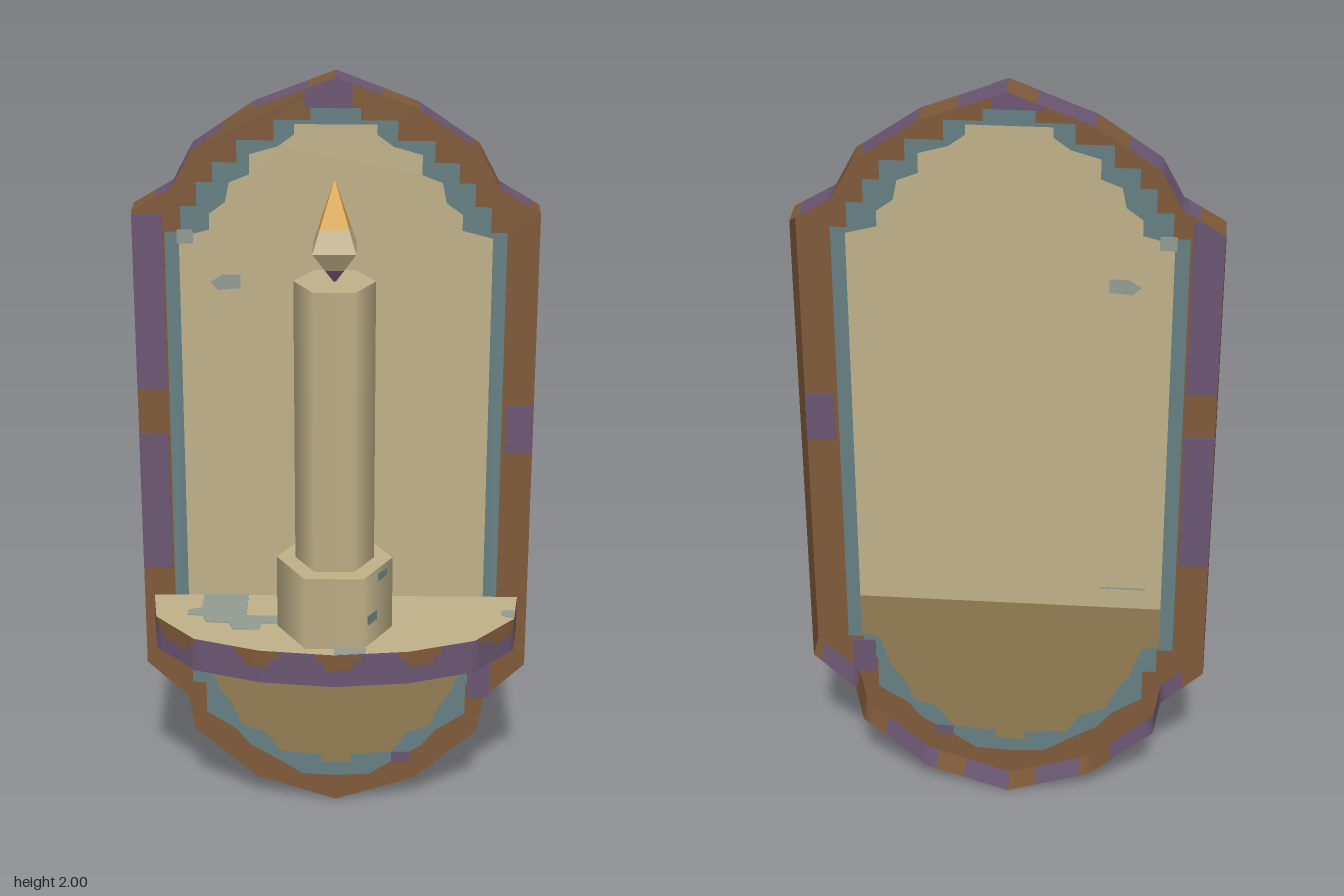
import * as THREE from 'three';
import { toCreasedNormals } from 'three/addons/utils/BufferGeometryUtils.js';

const paint = (name, color) => new THREE.MeshStandardMaterial({ name, color, side: THREE.DoubleSide });

export function createModel() {
  const model = new THREE.Group();
  const cream = paint('cream', 0xbfb088);
  const khaki = paint('dark khaki', 0x927e52);
  const brown = paint('wood brown', 0x7f5a39);
  const purple = paint('faded purple', 0x6b5672);
  const teal = paint('teal', 0x667f82);
  const grey = paint('grey green', 0x919c92);
  const amber = paint('flame amber', 0xd9a63a);

  const add = (name, geometry, material, parent = model) => {
    const mesh = new THREE.Mesh(geometry, material);
    mesh.name = name;
    parent.add(mesh);
    return mesh;
  };
  const shapeOf = (pts, hole) => {
    const s = new THREE.Shape(pts.map(p => new THREE.Vector2(...p)));
    if (hole) s.holes.push(new THREE.Path(hole.map(p => new THREE.Vector2(...p))));
    return s;
  };
  const mirror = half => [...half, ...half.slice(1, -1).reverse().map(([x, y]) => [-x, y])];
  const rect = (x0, y0, x1, y1) => [[x0, y0], [x1, y0], [x1, y1], [x0, y1]];
  // thin painted plate, centred on its plane
  const plate = pts => new THREE.ExtrudeGeometry(shapeOf(pts), { depth: 0.005, bevelEnabled: false }).translate(0, 0, -0.0025);

  // wall along a path, cut into small cells of two colours
  function wall(path, place, isPurple, rows) {
    const cells = [[], []];
    for (let i = 0; i + 1 < path.length; i++) {
      const [a, b] = [path[i], path[i + 1]];
      const n = Math.max(1, Math.ceil(Math.hypot(b[0] - a[0], b[1] - a[1]) / 0.025));
      const at = t => [a[0] + (b[0] - a[0]) * t, a[1] + (b[1] - a[1]) * t];
      for (let k = 0; k < n; k++) for (let r = 0; r < rows; r++) {
        const p = at(k / n), q = at((k + 1) / n), m = at((k + 0.5) / n);
        const v0 = r / rows, v1 = (r + 1) / rows;
        const A = place(p, v0), B = place(q, v0), C = place(q, v1), D = place(p, v1);
        cells[isPurple(m, (v0 + v1) / 2) ? 1 : 0].push(...A, ...B, ...C, ...A, ...C, ...D);
      }
    }
    const g = new THREE.BufferGeometry();
    g.setAttribute('position', new THREE.Float32BufferAttribute(cells.flat(), 3));
    g.addGroup(0, cells[0].length / 3, 0);
    g.addGroup(cells[0].length / 3, cells[1].length / 3, 1);
    return toCreasedNormals(g, 0.7);
  }

  // back board: open-backed shell with an ornamental outline
  const FRONT = -0.13, BACK = -0.205;
  const board = new THREE.Group();
  board.name = 'backBoard';
  model.add(board);
  const outline = mirror([[0, 2], [0.2, 1.923], [0.35, 1.82], [0.4, 1.725], [0.5, 1.665], [0.5, 0.42],
    [0.395, 0.32], [0.377, 0.217], [0.212, 0.07], [0, 0]]);
  const band = mirror([[0, 1.925], [0.06, 1.925], [0.06, 1.895], [0.15, 1.895], [0.15, 1.845], [0.24, 1.845], [0.24, 1.79],
    [0.3, 1.79], [0.3, 1.74], [0.34, 1.74], [0.34, 1.68], [0.38, 1.68], [0.38, 1.615], [0.42, 1.615], [0.42, 0.43], [0.38, 0.43],
    [0.38, 0.36], [0.345, 0.36], [0.345, 0.27], [0.27, 0.22], [0.23, 0.17], [0.15, 0.12], [0.09, 0.08], [0, 0.075]]);
  const panel = mirror([[0, 1.885], [0.1, 1.885], [0.1, 1.86], [0.14, 1.83], [0.21, 1.81], [0.21, 1.76], [0.26, 1.74],
    [0.27, 1.69], [0.31, 1.66], [0.31, 1.62], [0.385, 1.6], [0.385, 0.44], [0.34, 0.43], [0.31, 0.34], [0.28, 0.3],
    [0.25, 0.23], [0.19, 0.21], [0.15, 0.15], [0.04, 0.14], [0.04, 0.115], [0, 0.115]]);
  const SPLIT = 0.56;
  const cut = keep => {
    const pts = [];
    panel.forEach((p, i) => {
      const q = panel[(i + 1) % panel.length];
      if (keep(p[1])) pts.push(p);
      if (keep(p[1]) !== keep(q[1])) pts.push([p[0], SPLIT]);
    });
    return pts;
  };
  const face = (name, pts, hole, mat) =>
    add(name, new THREE.ShapeGeometry(shapeOf(pts, hole)), mat, board).position.z = FRONT;
  face('frameFace', outline, band, brown);
  face('innerBorder', band, panel, teal);
  face('upperPanel', cut(y => y > SPLIT), null, cream);
  face('lowerPanel', cut(y => y <= SPLIT), null, khaki);

  const rimPurple = [[-0.45, -0.27], [-0.2, -0.07], [0.01, 0.12], [0.2, 0.33], [0.4, 0.49]];
  add('rim', wall([...outline, outline[0]], ([x, y], v) => [x, y, FRONT + (BACK - FRONT) * v],
    ([x]) => rimPurple.some(([a, b]) => x > a && x < b), 1), [brown, purple], board);

  // worn paint on the frame and panel
  [rect(-0.5, 1.2, -0.425, 1.66), rect(-0.5, 0.7, -0.425, 1.08), rect(0.43, 1.03, 0.5, 1.16),
    rect(0.35, 0.32, 0.41, 0.42), [[-0.075, 1.925], [0.04, 1.925], [0.04, 1.985], [0, 2], [-0.075, 1.971]],
    rect(0.15, 0.12, 0.2, 0.15)]
    .forEach(p => { add('framePaintPatch', plate(p), purple, board).position.z = FRONT; });
  [[[-0.31, 1.485], [-0.28, 1.505], [-0.235, 1.505], [-0.235, 1.47], [-0.29, 1.465]], rect(-0.39, 1.585, -0.35, 1.62)]
    .forEach(p => { add('panelPaintPatch', plate(p), grey, board).position.z = FRONT; });

  // shelf
  const TOP = 0.62, LOW = 0.53;
  const shelf = new THREE.Group();
  shelf.name = 'shelf';
  model.add(shelf);
  const right = [[0.475, FRONT], [0.46, -0.005], [0.355, 0.117], [0.187, 0.178]];
  const rimPath = [...right.map(([x, z]) => [-x, z]), [0, 0.2], ...right.slice().reverse()];
  const flat = (g, y) => g.rotateX(Math.PI / 2).translate(0, y, 0);
  // reversed winding keeps the upper face pointing up
  add('shelfTop', new THREE.ShapeGeometry(shapeOf(rimPath.map(([x, z]) => [x, -z])))
    .rotateX(-Math.PI / 2).translate(0, TOP, 0), cream, shelf);
  add('shelfUnderside', flat(new THREE.ShapeGeometry(shapeOf(rimPath)), LOW), brown, shelf);
  add('shelfEdge', wall(rimPath, ([x, z], v) => [x, LOW + (TOP - LOW) * v, z],
    ([x], v) => v < 0.4 || Math.abs((((x + 2.09) / 0.21) % 1) - 0.5) < (v < 0.7 ? 0.34 : 0.24), 4), [brown, purple], shelf);
  [[[-0.345, FRONT], [-0.228, FRONT], [-0.228, -0.01], [-0.12, -0.01], [-0.12, 0.03], [-0.19, 0.03], [-0.19, 0.065],
    [-0.26, 0.065], [-0.27, 0.03], [-0.33, 0.025], [-0.34, -0.01], [-0.38, -0.015], [-0.38, -0.04], [-0.345, -0.055]],
  [[0.43, -0.045], [0.463, -0.05], [0.459, -0.01], [0.43, -0.02]],
  [[0, 0.165], [0.08, 0.165], [0.08, 0.19], [0, 0.199]]]
    .forEach(p => add('shelfPaintPatch', flat(plate(p), TOP), grey, shelf));

  // candle and its holder, six-sided
  const candle = new THREE.Group();
  candle.name = 'candle';
  candle.position.z = 0.04;
  model.add(candle);
  const column = (name, r, y0, y1) => add(name,
    new THREE.CylinderGeometry(r, r, y1 - y0, 6).rotateY(Math.PI / 6).translate(0, (y0 + y1) / 2, 0), cream, candle);
  column('candleHolder', 0.146, TOP, 0.815);
  column('candleStick', 0.099, 0.815, 1.547);

  // chipped paint on the holder faces: [face angle, offset, height, width, tall]
  [[1, -0.03, 0.69, 0.045, 0.025], [1, 0.02, 0.79, 0.04, 0.02], [2, 0.02, 0.69, 0.045, 0.03]].forEach(([k, s, y, w, h]) => {
    const g = new THREE.BoxGeometry(w, h, 0.004).translate(s, y, 0.1265).rotateY(k * Math.PI / 3);
    add('holderPaintPatch', g, teal, candle);
  });

  // flame: four-sided double pyramid in colour bands
  const S = 0.052 * Math.SQRT2;
  [['wickTip', 1.542, 0, 1.58, 0.43, purple], ['flameBase', 1.58, 0.43, 1.63, 1, cream],
    ['flameMiddle', 1.63, 1, 1.685, 0.676, cream], ['flameTip', 1.685, 0.676, 1.8, 0, amber]]
    .forEach(([name, y0, r0, y1, r1, mat]) => {
      const g = new THREE.CylinderGeometry(r1 * S, r0 * S, y1 - y0, 4, 1, true)
        .rotateY(Math.PI / 4).translate(0, (y0 + y1) / 2, 0).toNonIndexed();
      g.computeVertexNormals();
      add(name, g, mat, candle);
    });

  return model;
}
